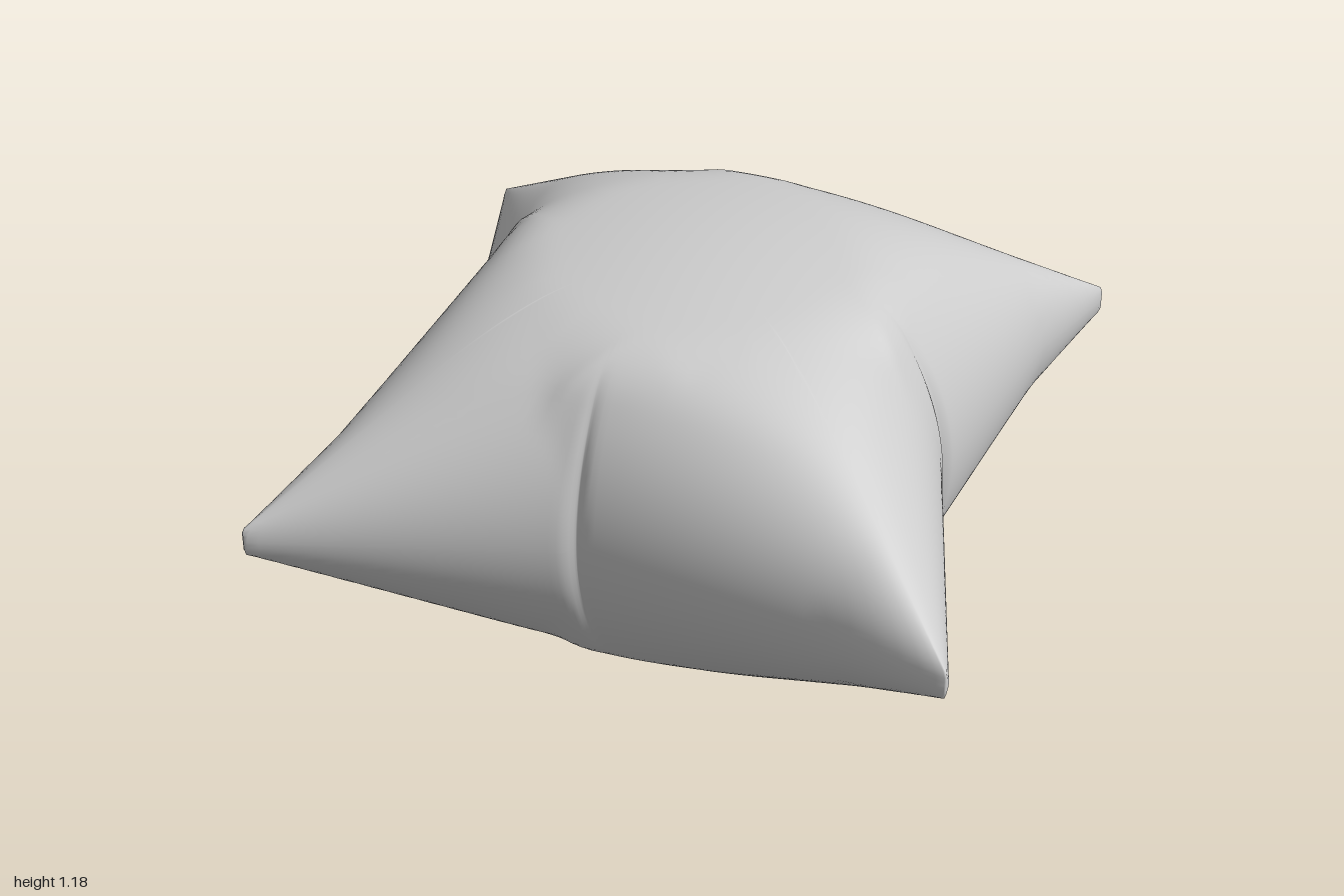
import * as THREE from 'three';

const HALF_HEIGHT = 0.59;
const TAU = Math.PI * 2;

// Four inflated corners; each edge is either tapered with a late flare (long) or straight (short).
const corners = [
  { sx: 1, sz: 1, longX: true, longZ: false },
  { sx: 1, sz: -1, longX: true, longZ: true },
  { sx: -1, sz: -1, longX: false, longZ: false },
  { sx: -1, sz: 1, longX: false, longZ: true },
];

// Azimuths of the pinches (front, right, back, left) alternating with the corners.
const pinches = [[-0.11, 0.75], [0.76, 0.07], [-0.05, -0.77], [-0.77, -0.12]].map(
  ([x, z], i) => {
    const a = Math.atan2(x, z);
    return i > 1 ? a + TAU : a;
  });
const stops = [];
pinches.forEach((p, i) => stops.push(p, Math.PI / 4 + i * Math.PI / 2));
stops.push(pinches[0] + TAU);

function smoothMin(a, b, k) {
  const h = Math.max(k - Math.abs(a - b), 0) / k;
  return Math.min(a, b) - h * h * k / 4;
}

// Signed field of one corner cone, its axis running along the diagonal.
function cone(c, x, y, z) {
  const a = Math.SQRT2 - (c.sx * x + c.sz * z) / Math.SQRT2;
  const t = (c.sx * x - c.sz * z) / Math.SQRT2;
  const d = THREE.MathUtils.clamp(a, 0, 1.1);
  const long = t < 0 ? c.longX : c.longZ;
  const w = 0.01 + (long ? 0.49 * d + 0.23 * Math.max(d - 0.33, 0) : 0.57 * d);
  const h = 0.042 + 0.59 * d;
  const g = (Math.hypot(y / h, t / w) - 1) * Math.min(w, h);
  return Math.max(g, -a, a - 1.5);
}

// Whole cushion: the cones joined, then flattened by a shallow dome above and below.
function field(x, y, z) {
  const k = 0.012 + 0.12 * Math.min(1, (y / HALF_HEIGHT) ** 4);
  let f = 10;
  for (const c of corners) f = smoothMin(f, cone(c, x, y, z), k);
  const dome = Math.abs(y) - (HALF_HEIGHT - 0.2 * (x * x + z * z));
  return -smoothMin(-f, -dome, 0.08);
}

function surfaceRadius(dx, dy, dz) {
  let lo = 0, hi = 1.7;
  for (let i = 0; i < 26; i++) {
    const r = (lo + hi) / 2;
    if (field(dx * r, dy * r, dz * r) < 0) lo = r; else hi = r;
  }
  return lo;
}

function cushionGeometry() {
  const perSpan = 26, rings = 46;
  // Azimuths packed closely at corners and pinches
  const azimuths = [];
  for (let s = 0; s < stops.length - 1; s++) {
    for (let i = 0; i < perSpan; i++) {
      const e = (1 - Math.cos(Math.PI * i / perSpan)) / 2;
      azimuths.push(THREE.MathUtils.lerp(stops[s], stops[s + 1], e));
    }
  }
  const n = azimuths.length;
  const positions = [], index = [];
  for (let j = -rings; j <= rings; j++) {
    const el = Math.sign(j) * Math.pow(Math.abs(j) / rings, 1.6) * Math.PI / 2;
    for (const az of azimuths) {
      const dx = Math.sin(az) * Math.cos(el), dy = Math.sin(el), dz = Math.cos(az) * Math.cos(el);
      let r = surfaceRadius(dx, dy, dz);
      // Narrow fold along each pinch, fading towards top and bottom
      const fade = Math.max(0, 1 - (dy * r / 0.5) ** 2);
      for (const p of pinches) {
        const off = Math.atan2(Math.sin(az - p), Math.cos(az - p));
        r *= 1 - 0.025 * fade * Math.exp(-((off / 0.025) ** 2));
      }
      positions.push(dx * r, dy * r + HALF_HEIGHT, dz * r);
    }
  }
  for (let j = 0; j < rings * 2; j++) {
    for (let i = 0; i < n; i++) {
      const a = j * n + i, b = j * n + (i + 1) % n;
      if (j > 0) index.push(a, b, b + n);
      if (j < rings * 2 - 1) index.push(a, b + n, a + n);
      else index.push(a, b, b + n);
    }
  }
  // Each pole becomes a single shared vertex
  const last = rings * 2 * n;
  const merged = index.map((v) => (v < n ? 0 : v >= last ? last : v));
  const geometry = new THREE.BufferGeometry();
  geometry.setAttribute('position', new THREE.Float32BufferAttribute(positions, 3));
  geometry.setIndex(merged);
  geometry.computeVertexNormals();
  return geometry;
}

export function createModel() {
  const group = new THREE.Group();
  group.name = 'pillow';
  const cushion = new THREE.Mesh(
    cushionGeometry(),
    new THREE.MeshStandardMaterial({ color: 0xcccccc }));
  cushion.name = 'cushion';
  group.add(cushion);
  return group;
}
